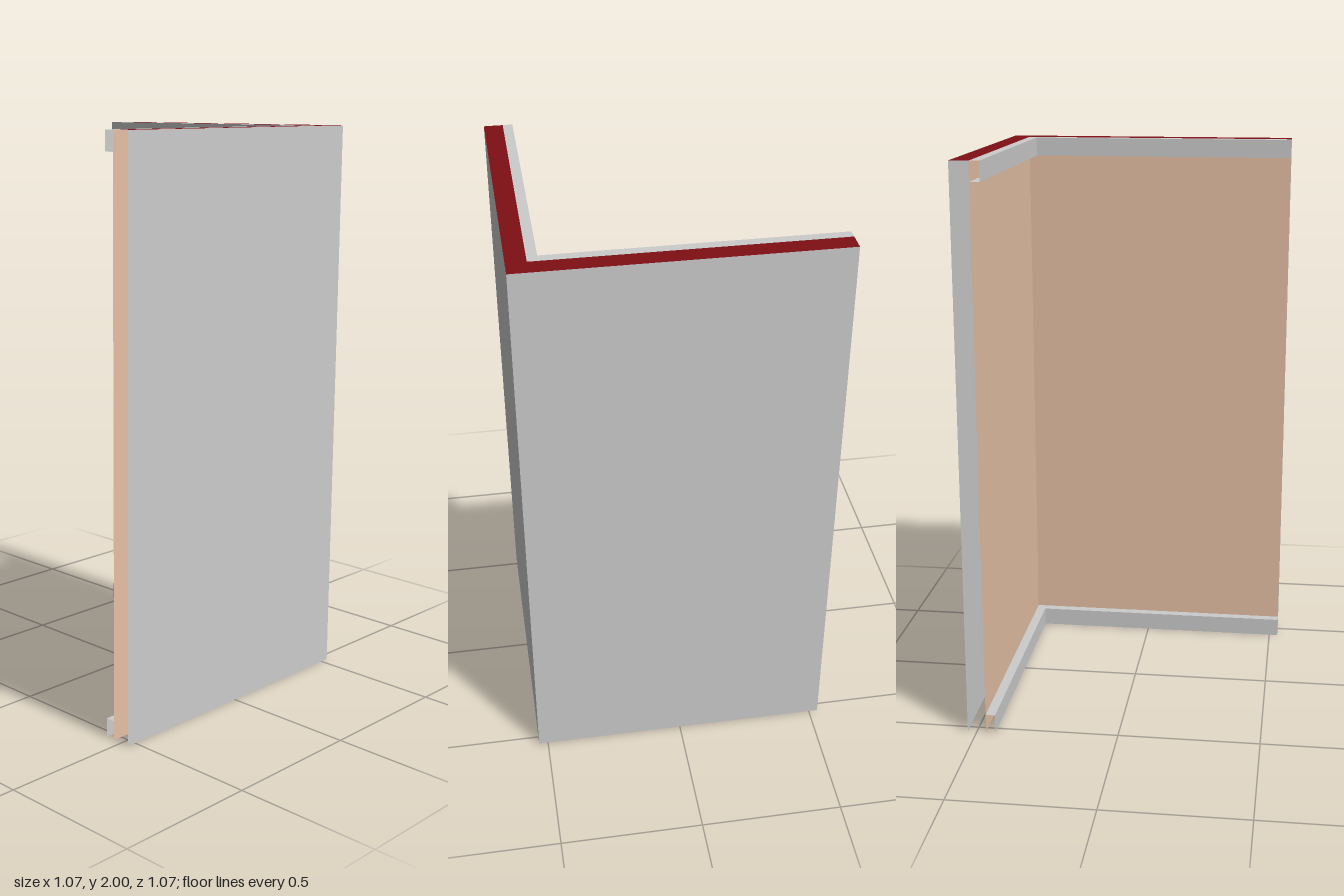
import * as THREE from 'three';

const OUT = 0.533;   // outer wall face
const INN = 0.467;   // inner wall face
const TRIM = 0.433;  // face of the trim
const H = 2;
const TRIM_H = 0.067;

// Sweeps a profile of [offset, y] points along the L-shaped corner plan.
function sweepCorner(name, color, profile) {
  const plan = (d) => [[-OUT, d], [d, d], [d, -OUT]];
  const pos = [];
  for (let j = 0; j < profile.length - 1; j++) {
    const [d0, y0] = profile[j];
    const [d1, y1] = profile[j + 1];
    const a = plan(d0);
    const b = plan(d1);
    for (let i = 0; i < 2; i++) {
      const p = [a[i][0], y0, a[i][1]];
      const q = [a[i + 1][0], y0, a[i + 1][1]];
      const r = [b[i + 1][0], y1, b[i + 1][1]];
      const s = [b[i][0], y1, b[i][1]];
      pos.push(...p, ...q, ...r, ...p, ...r, ...s);
    }
  }
  const geo = new THREE.BufferGeometry();
  geo.setAttribute('position', new THREE.Float32BufferAttribute(pos, 3));
  geo.computeVertexNormals();
  const mat = new THREE.MeshStandardMaterial({ color, side: THREE.DoubleSide });
  const mesh = new THREE.Mesh(geo, mat);
  mesh.name = name;
  return mesh;
}

export function createModel() {
  const group = new THREE.Group();
  group.name = 'cornerWall';
  group.add(
    // Hollow wall: outer skin, top cap and inner skin, open at the ends and below
    sweepCorner('outerWall', 0xcccccc, [[OUT, 0], [OUT, H]]),
    sweepCorner('topCap', 0x7f0f15, [[OUT, H], [INN, H]]),
    sweepCorner('innerWall', 0xe6c0a4, [[INN, H], [INN, 0]]),
    // Trim along the ceiling and the floor
    sweepCorner('crownTrim', 0xcccccc,
      [[INN, H], [TRIM, H], [TRIM, H - TRIM_H], [INN, H - TRIM_H]]),
    sweepCorner('baseboard', 0xcccccc,
      [[INN, TRIM_H], [TRIM, TRIM_H], [TRIM, 0]]),
  );
  return group;
}
